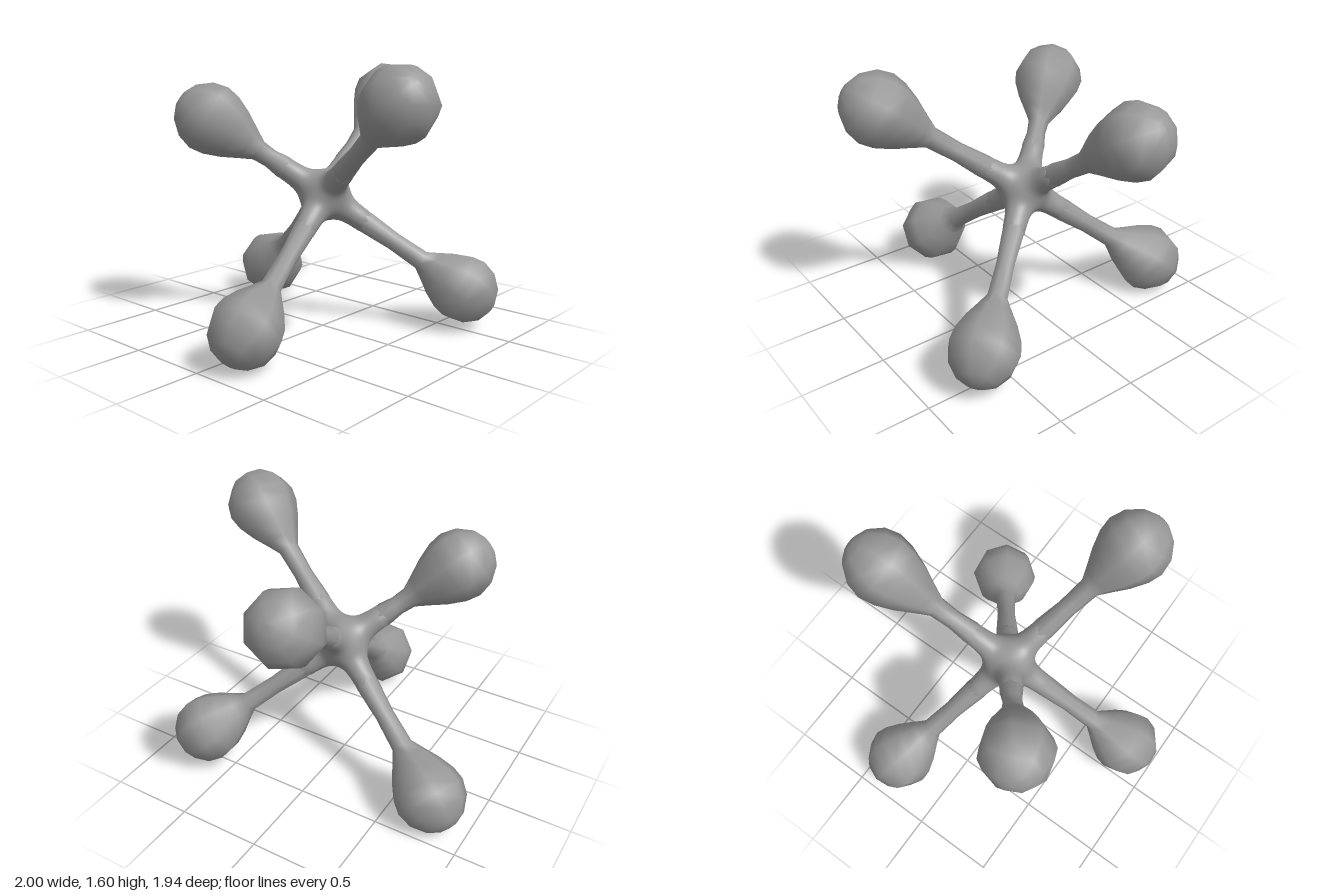
import * as THREE from 'three';
import { mergeVertices } from 'three/addons/utils/BufferGeometryUtils.js';

const HUB = new THREE.Vector3(0.02, 0.815, 0);

// Bulb centre of each arm and how far the taper reaches back towards the hub
const ARMS = [
  { name: 'upperLeftArm', tip: [0.795, 1.365, -0.13], taper: 0.4 },
  { name: 'lowerRightArm', tip: [-0.795, 0.218, 0.16], taper: 0.3 },
  { name: 'upperFrontArm', tip: [-0.285, 1.41, 0.765], taper: 0.35 },
  { name: 'lowerBackArm', tip: [0.335, 0.195, -0.765], taper: 0.33 },
  { name: 'upperBackArm', tip: [-0.415, 1.27, -0.525], taper: 0.35 },
  { name: 'lowerFrontArm', tip: [0.535, 0.245, 0.66], taper: 0.31 },
].map(({ name, tip, taper }) => {
  const axis = new THREE.Vector3(...tip).sub(HUB);
  const length = axis.length();
  return { name, taper, length, axis: axis.normalize() };
});

const material = new THREE.MeshStandardMaterial({ color: 0x989898 });

// Ball drawn out along every arm, so that the stalks flow into it
function hubGeometry() {
  const ball = new THREE.IcosahedronGeometry(1, 16);
  ball.deleteAttribute('uv');
  ball.deleteAttribute('normal');
  const geometry = mergeVertices(ball);
  const position = geometry.attributes.position;
  const v = new THREE.Vector3();
  for (let i = 0; i < position.count; i++) {
    v.fromBufferAttribute(position, i).normalize();
    let sum = 0.11 ** 3;
    for (const { axis } of ARMS) {
      const angle = Math.min(v.angleTo(axis), Math.PI / 2);
      sum += Math.min(0.064 / Math.max(Math.sin(angle), 0.01), 0.3) ** 3;
    }
    v.multiplyScalar(Math.cbrt(sum));
    position.setXYZ(i, v.x, v.y, v.z);
  }
  geometry.computeVertexNormals();
  return geometry;
}

// Thin stalk and teardrop bulb turned around one axis
function armGeometry(length, taper) {
  const profile = [
    [0.058, 0.1],
    [0.068, 0.3],
    [0.056, (0.3 + length - taper) / 2],
    [0.062, length - taper],
    [0.1, length - taper * 0.8],
    [0.156, length - taper * 0.52],
    [0.198, length - taper * 0.24],
    [0.212, length],
    [0.187, length + 0.09],
    [0.12, length + 0.168],
    [0.05, length + 0.2],
    [0, length + 0.205],
  ].map(([r, y]) => new THREE.Vector2(r, y));
  return new THREE.LatheGeometry(profile, 8);
}

export function createModel() {
  const model = new THREE.Group();
  model.name = 'sixArmedBulbCluster';

  // Central hub
  const hub = new THREE.Mesh(hubGeometry(), material);
  hub.name = 'hub';
  hub.position.copy(HUB);
  model.add(hub);

  // Radiating arms
  const up = new THREE.Vector3(0, 1, 0);
  for (const { name, axis, length, taper } of ARMS) {
    const arm = new THREE.Mesh(armGeometry(length, taper), material);
    arm.name = name;
    arm.position.copy(HUB);
    arm.quaternion.setFromUnitVectors(up, axis);
    model.add(arm);
  }
  return model;
}
